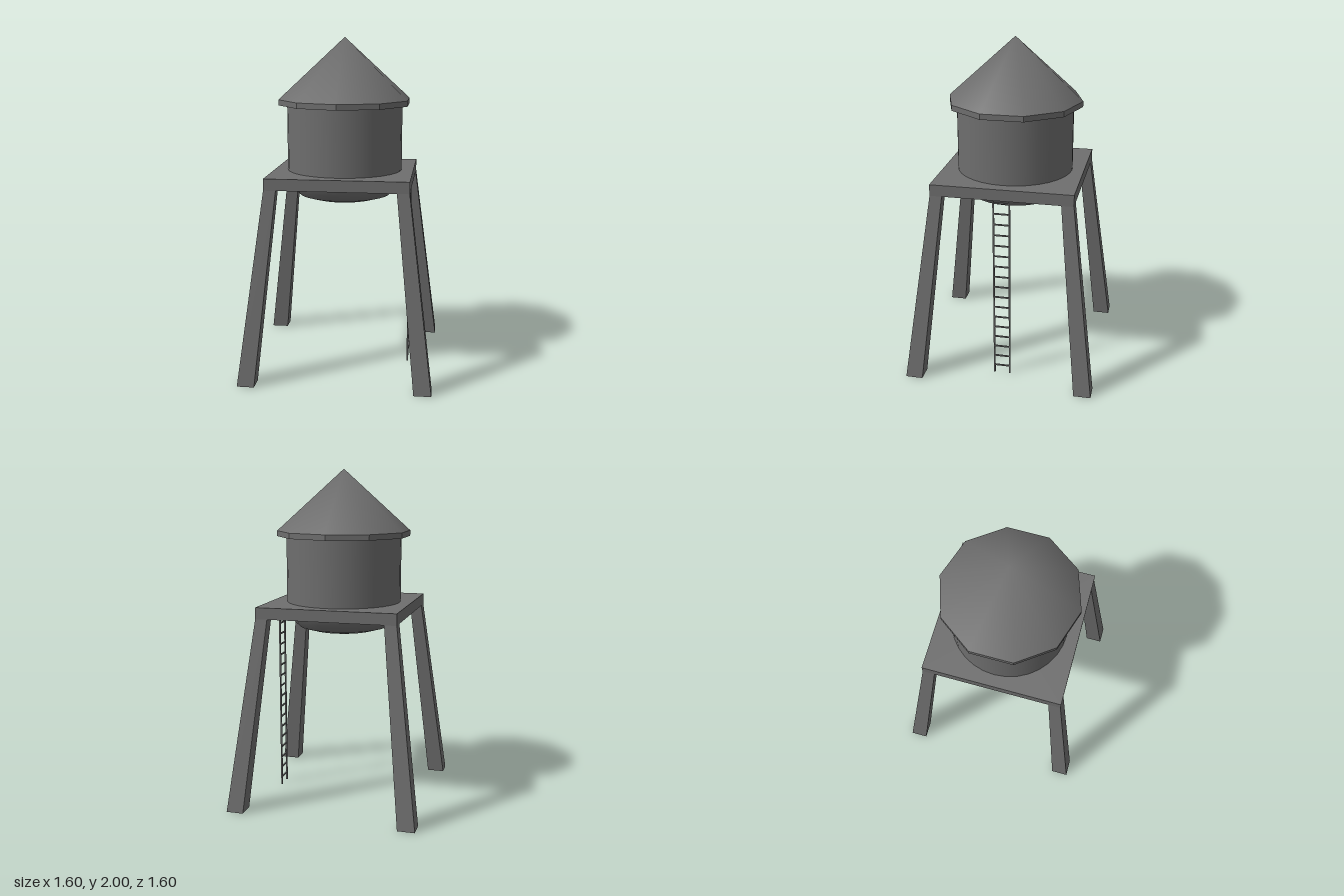
import * as THREE from 'three';
import { mergeVertices } from 'three/addons/utils/BufferGeometryUtils.js';

const color = 0x6e6e6e;
const flat = new THREE.MeshStandardMaterial({ color, flatShading: true });
const smooth = new THREE.MeshStandardMaterial({ color });

function add(parent, name, geometry, material, x = 0, y = 0, z = 0) {
  const mesh = new THREE.Mesh(geometry, material);
  mesh.name = name;
  mesh.position.set(x, y, z);
  parent.add(mesh);
  return mesh;
}

// Tapered square post, turned corner-outward and leaning in towards the top
function legGeometry(height) {
  const g = new THREE.CylinderGeometry(0.051, 0.072, height, 4);
  g.translate(0, height / 2, 0);
  const p = g.attributes.position;
  for (let i = 0; i < p.count; i++) {
    p.setZ(i, p.getZ(i) + THREE.MathUtils.lerp(0.728, 0.541, p.getY(i) / height));
  }
  return g;
}

// Cone with one shared tip, so the shading runs smoothly over the top
function smoothCone(radius, height, sides, turn) {
  const g = new THREE.ConeGeometry(radius, height, sides, 1, true, turn);
  g.deleteAttribute('normal');
  g.deleteAttribute('uv');
  const merged = mergeVertices(g);
  merged.computeVertexNormals();
  return merged;
}

export function createModel() {
  const model = new THREE.Group();
  model.name = 'waterTower';
  const deckBottom = 1.142, deckTop = 1.21;

  // Four splayed legs under the corners of the platform
  const legGeo = legGeometry(deckBottom);
  for (let i = 0; i < 4; i++) {
    add(model, 'leg', legGeo, flat).rotation.y = i * Math.PI / 2;
  }

  // Square platform set as a diamond
  add(model, 'platform', new THREE.CylinderGeometry(0.592, 0.592, deckTop - deckBottom, 4),
    flat, 0, (deckTop + deckBottom) / 2, 0);

  // Tank wall and the shallow bowl below the platform
  add(model, 'tankWall', new THREE.CylinderGeometry(0.347, 0.347, 0.45, 32, 1, true), smooth, 0, 1.385, 0);
  const bowl = [[0, 1.035], [0.2, 1.038], [0.275, 1.06], [0.315, 1.1], [0.335, 1.15]]
    .map(([r, y]) => new THREE.Vector2(r, y));
  add(model, 'tankBowl', new THREE.LatheGeometry(bowl, 32), smooth);

  // Ten-sided roof: thin eave and cone
  const turn = -Math.PI / 20;
  add(model, 'roofEave', new THREE.CylinderGeometry(0.402, 0.402, 0.033, 10, 1, false, turn), flat, 0, 1.6185, 0);
  add(model, 'roofCone', smoothCone(0.402, 0.365, 10, turn), smooth, 0, 1.8175, 0);

  // Ladder hanging below one side of the platform
  const ladder = new THREE.Group();
  ladder.name = 'ladder';
  ladder.position.set(0.284, 0, 0.284);
  ladder.rotation.y = Math.PI / 4;
  model.add(ladder);
  const railGeo = new THREE.BoxGeometry(0.009, deckBottom, 0.009);
  for (const side of [-1, 1]) add(ladder, 'ladderRail', railGeo, flat, side * 0.047, deckBottom / 2, 0);
  const rungGeo = new THREE.BoxGeometry(0.094, 0.008, 0.008);
  for (let i = 0; i < 17; i++) add(ladder, 'ladderRung', rungGeo, flat, 0, 0.05 + i * 0.067, 0);

  return model;
}
